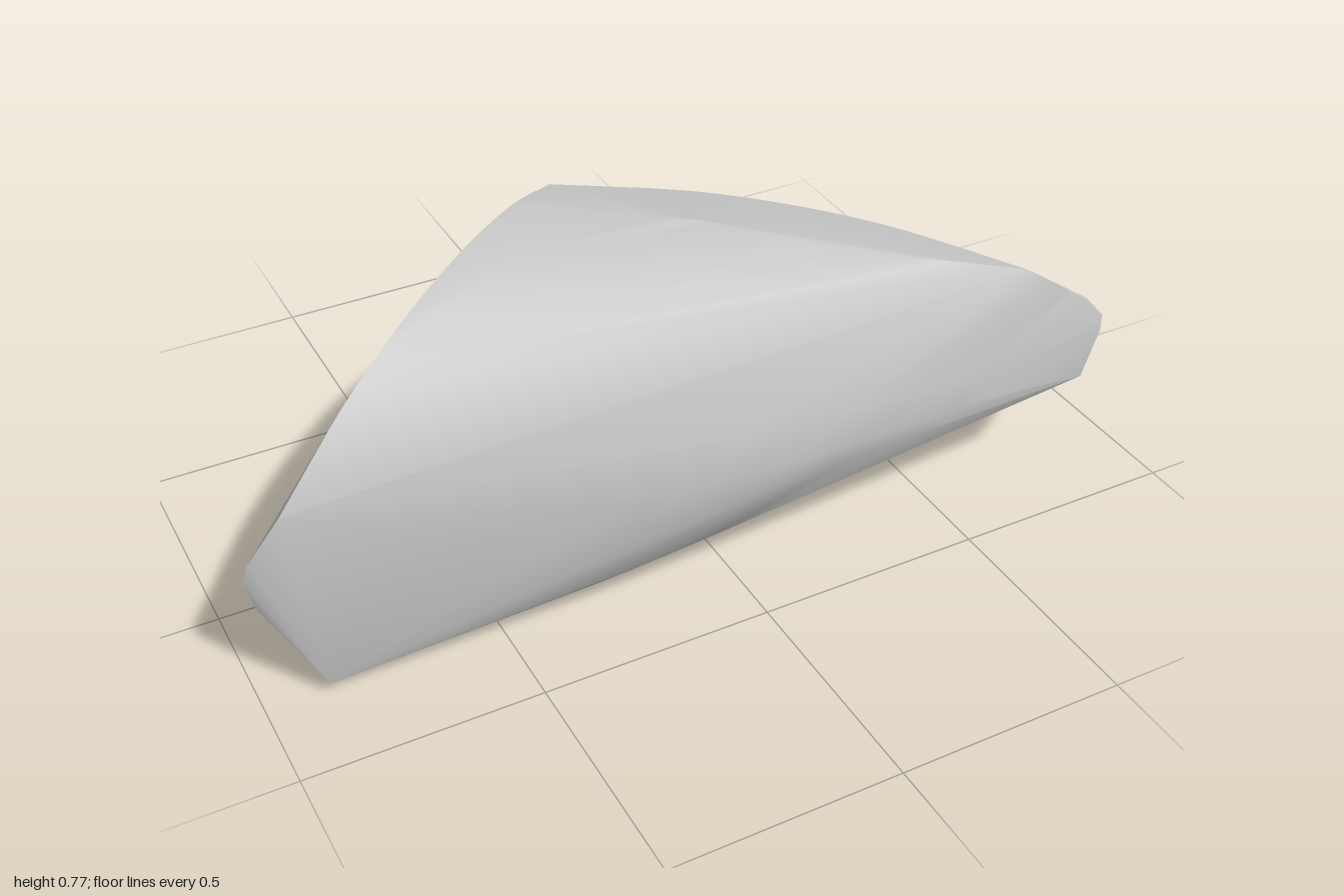
import * as THREE from 'three';
import { ConvexGeometry } from 'three/addons/geometries/ConvexGeometry.js';
import { toCreasedNormals } from 'three/addons/utils/BufferGeometryUtils.js';

const v = (x, y, z) => new THREE.Vector3(x, y, z);

// Points along a smooth rim through a few knots
const rim = (knots, n = 26) => new THREE.CatmullRomCurve3(knots, false, 'centripetal').getPoints(n);

// Rounded surface lofted across several rims
function loft(rims, n = 26, across = 9) {
  const lines = rims.map((knots) => rim(knots, n));
  return lines[0].flatMap((_, i) => rim(lines.map((line) => line[i]), across));
}

export function createModel() {
  const group = new THREE.Group();
  const stone = new THREE.MeshStandardMaterial({ color: 0xc0c0c0 });
  stone.name = 'stone grey';

  // Corners where the rims meet
  const leftTop = v(-0.94, 0.405, 0.28), leftTip = v(-1, 0.3, 0.265);
  const leftBack = v(-0.92, 0.09, 0.01), leftFoot = v(-0.88, 0.04, 0.265);
  const peak = v(-0.3, 0.765, -0.035), ridgeEnd = v(-0.19, 0.757, -0.09);
  const frontTop = v(0.66, 0.575, 0.39), capTop = v(0.84, 0.435, 0.435);
  const capFront = v(0.8, 0.34, 0.45), capFoot = v(0.97, 0.05, -0.02);
  const capBack = v(1, 0.075, -0.035);

  // Sharp rims: upper left ridge, rear shoulder, rear rim, right end cap
  const edges = [
    [leftTop, v(-0.74, 0.59, 0.195), v(-0.5, 0.717, 0.07), peak, ridgeEnd],
    [ridgeEnd, v(0.13, 0.7, 0.005), v(0.42, 0.637, 0.165), frontTop],
    [leftBack, v(-0.5, 0.225, -0.288), v(-0.2, 0.32, -0.425), v(0.1, 0.368, -0.457),
      v(0.45, 0.32, -0.38), v(0.83, 0.18, -0.18), capBack],
    [frontTop, v(0.755, 0.51, 0.418), capTop],
    [capTop, v(0.945, 0.28, 0.235), capBack],
    [capFront, v(0.83, 0.23, 0.36), v(0.89, 0.11, 0.18), capFoot],
  ];

  // Bulging front, from the top line down to the lower rim
  const front = [
    [leftTop, v(-0.55, 0.67, 0.135), v(-0.1, 0.737, 0.075), v(0.32, 0.648, 0.265), frontTop],
    [leftTop, v(-0.5, 0.53, 0.255), v(-0.05, 0.555, 0.305), v(0.4, 0.515, 0.385), capTop],
    [leftTip, v(-0.5, 0.29, 0.368), v(0, 0.31, 0.43), v(0.5, 0.325, 0.453), capFront],
    [leftFoot, v(-0.45, 0.07, 0.335), v(-0.05, 0.14, 0.38), v(0.4, 0.25, 0.427), capFront],
  ];

  // Shallow underside, front to back
  const underside = [
    [leftFoot, v(-0.56, 0.022, 0.272), v(0, 0.013, 0.225), v(0.57, 0.025, 0.155), capFoot],
    [leftFoot, v(-0.5, 0.013, 0.15), v(0, 0, 0.08), v(0.5, 0.013, 0), capFoot],
    [leftBack, v(-0.53, 0.022, 0.01), v(0, 0.009, -0.06), v(0.58, 0.02, -0.12), capFoot],
  ];

  // The body is the skin stretched over all of them
  const points = [...edges.flatMap((knots) => rim(knots)), ...loft(front), ...loft(underside)];
  const body = new THREE.Mesh(toCreasedNormals(new ConvexGeometry(points), 0.5), stone);
  body.name = 'stoneBody';
  group.add(body);
  return group;
}
